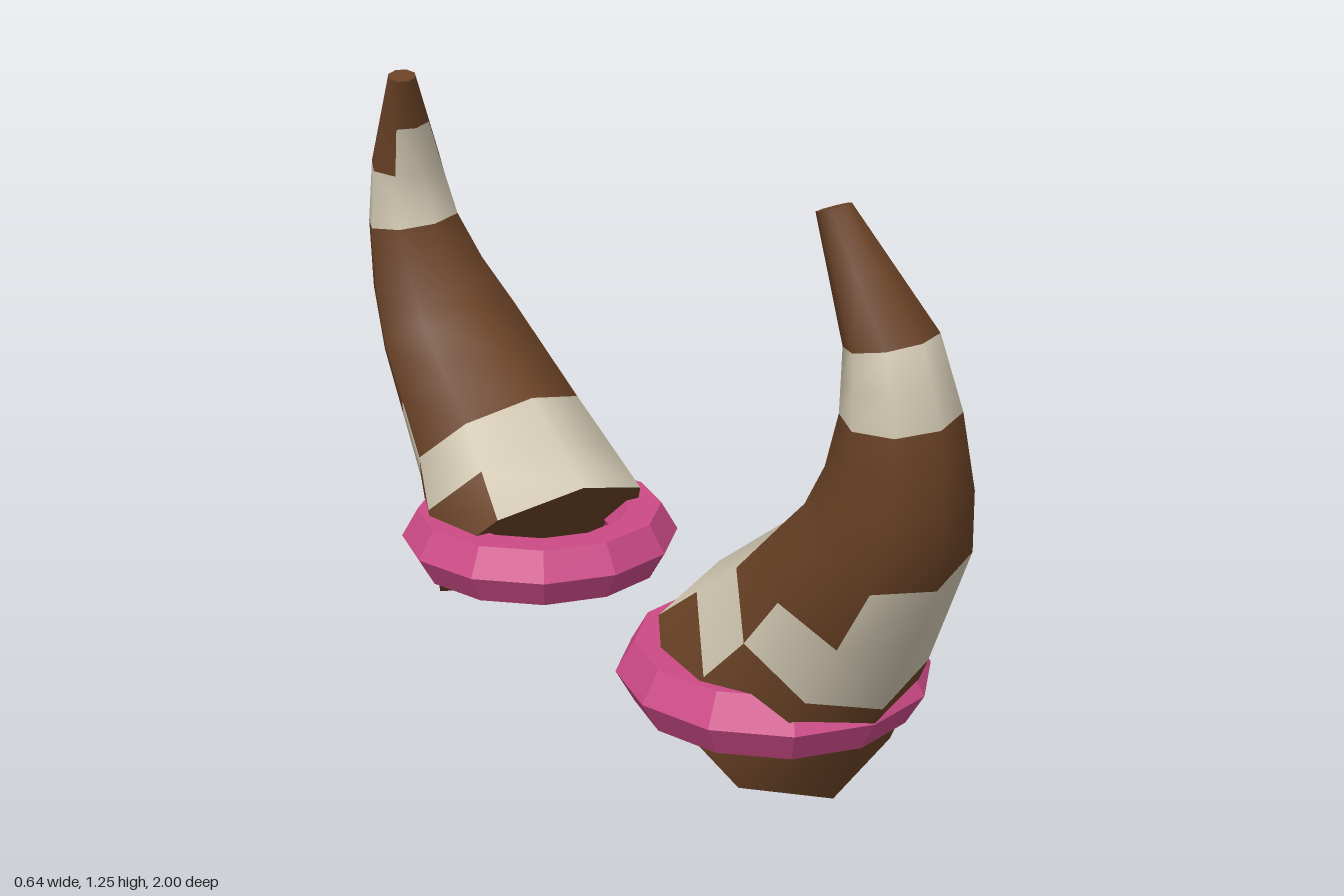
import * as THREE from 'three';

const SIDES = 8;

// Horn rings from base to tip: outer edge and inner edge as [z, y], then centre x, half width in x, sideways roll
const RINGS = [
  { outer: [0.65, 0.0], inner: [0.26, 0.376], x: 0, rx: 0.27, roll: 0 },
  { outer: [0.79, 0.25], inner: [0.476, 0.53], x: 0, rx: 0.213, roll: 0.04 },
  { outer: [0.957, 0.556], inner: [0.674, 0.7], x: -0.026, rx: 0.17, roll: 0.12 },
  { outer: [1.0, 0.71], inner: [0.74, 0.79], x: -0.048, rx: 0.138, roll: 0.13 },
  { outer: [1.0, 0.88], inner: [0.785, 0.887], x: -0.07, rx: 0.11, roll: 0.13 },
  { outer: [0.963, 1.03], inner: [0.8, 1.005], x: -0.088, rx: 0.087, roll: 0.12 },
  { outer: [0.813, 1.25], inner: [0.754, 1.233], x: -0.145, rx: 0.033, roll: 0.12 },
];

// Pale patches per 45 degree column, counted from the outer side to the inner side, as ranges of ring number
const PATCHES = [
  [[1, 2], [4, 5]],
  [[1, 1.5], [4, 5]],
  [[0.5, 1], [4, 5]],
  [[0, 1], [4, 5.5]],
];

function ringPoint(ring, k, dir) {
  const a = (k / SIDES) * Math.PI * 2;
  const c = Math.cos(a) / 2, s = Math.sin(a) * ring.rx;
  const [oz, oy] = ring.outer, [iz, iy] = ring.inner;
  return new THREE.Vector3(
    ring.x + s,
    (oy + iy) / 2 + c * (oy - iy) + s * ring.roll,
    dir * ((oz + iz) / 2 + c * (oz - iz))
  );
}

// Horn skin: rows at every half ring, with pale and dark faces in two groups
function hornGeometry(dir) {
  const points = [];
  const rows = (RINGS.length - 1) * 2;
  for (let r = 0; r <= rows; r++) {
    const lower = RINGS[Math.floor(r / 2)], upper = RINGS[Math.ceil(r / 2)];
    for (let k = 0; k < SIDES; k++) {
      points.push(ringPoint(lower, k, dir).lerp(ringPoint(upper, k, dir), 0.5));
    }
  }
  const dark = [], pale = [];
  for (let r = 0; r < rows; r++) {
    for (let k = 0; k < SIDES; k++) {
      const column = Math.min(k, SIDES - 1 - k);
      const mid = r / 2 + 0.25;
      const list = PATCHES[column].some(([a, b]) => mid > a && mid < b) ? pale : dark;
      const a = r * SIDES + k, b = r * SIDES + ((k + 1) % SIDES);
      const c = b + SIDES, d = a + SIDES;
      if (dir > 0) list.push(a, b, c, a, c, d);
      else list.push(a, c, b, a, d, c);
    }
  }
  const geo = new THREE.BufferGeometry().setFromPoints(points);
  geo.setIndex([...dark, ...pale]);
  geo.addGroup(0, dark.length, 0);
  geo.addGroup(dark.length, pale.length, 1);
  geo.computeVertexNormals();
  return geo;
}

// Flat end of the horn
function capGeometry(ring, dir, flip) {
  const points = [];
  for (let k = 0; k < SIDES; k++) points.push(ringPoint(ring, k, dir));
  const index = [];
  for (let k = 1; k < SIDES - 1; k++) {
    if (flip) index.push(0, k + 1, k);
    else index.push(0, k, k + 1);
  }
  const geo = new THREE.BufferGeometry().setFromPoints(points);
  geo.setIndex(index);
  geo.computeVertexNormals();
  return geo;
}

export function createModel() {
  const brown = new THREE.MeshStandardMaterial({ color: 0x6a4226 });
  brown.name = 'hornBrown';
  const cream = new THREE.MeshStandardMaterial({ color: 0xd2c8b2 });
  cream.name = 'paleCream';
  const pink = new THREE.MeshStandardMaterial({ color: 0xcc4a86, flatShading: true });
  pink.name = 'bandPink';

  const model = new THREE.Group();
  model.name = 'hornPair';

  for (const dir of [1, -1]) {
    const group = new THREE.Group();
    group.name = dir > 0 ? 'frontHorn' : 'backHorn';
    const add = (geo, mat, name) => {
      const mesh = new THREE.Mesh(geo, mat);
      mesh.name = name;
      group.add(mesh);
      return mesh;
    };

    add(hornGeometry(dir), [brown, cream], 'hornSkin');
    add(capGeometry(RINGS[0], dir, dir > 0), brown, 'hornBase');
    add(capGeometry(RINGS[RINGS.length - 1], dir, dir < 0), brown, 'hornTip');

    // Six-sided band lying level around the base
    const band = add(new THREE.TorusGeometry(0.245, 0.075, 6, 12), pink, 'baseBand');
    band.rotation.x = Math.PI / 2;
    band.position.set(0, 0.21, dir * 0.45);

    model.add(group);
  }
  return model;
}
